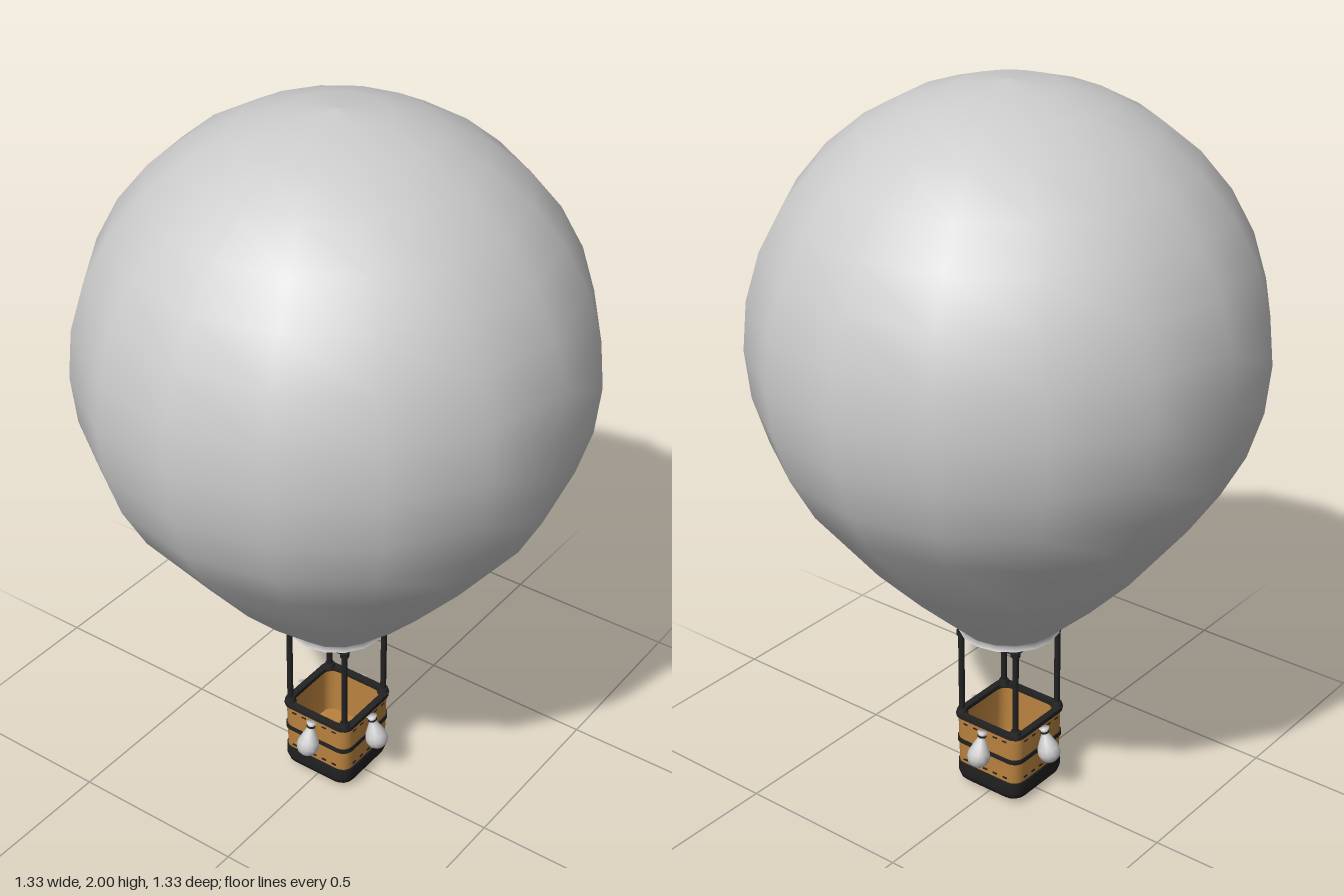
import * as THREE from 'three';
import { toCreasedNormals } from 'three/addons/utils/BufferGeometryUtils.js';

const grey = new THREE.MeshStandardMaterial({ color: 0xcccccc });
const greyOpen = new THREE.MeshStandardMaterial({ color: 0xcccccc, side: THREE.DoubleSide });
const wicker = new THREE.MeshStandardMaterial({ color: 0xb9823e });
const dark = new THREE.MeshStandardMaterial({ color: 0x222222 });

function add(parent, name, geometry, material, x = 0, y = 0, z = 0) {
  const mesh = new THREE.Mesh(geometry, material);
  mesh.name = name;
  mesh.position.set(x, y, z);
  parent.add(mesh);
  return mesh;
}

const lathe = (points, sides) =>
  new THREE.LatheGeometry(points.map(([r, y]) => new THREE.Vector2(r, y)), sides);

// Sweeps a profile of [half width, y] around a square with rounded corners
function roundedSquareLathe(profile, corner = 0.03) {
  const positions = [], index = [], steps = 4, n = 4 * (steps + 1);
  for (const [half, y] of profile) {
    const r = Math.min(corner, half);
    for (let q = 0; q < 4; q++) {
      const mid = (q + 0.5) * Math.PI / 2;
      for (let s = 0; s <= steps; s++) {
        const a = (q + s / steps) * Math.PI / 2;
        positions.push(
          Math.sign(Math.cos(mid)) * (half - r) + r * Math.cos(a), y,
          Math.sign(Math.sin(mid)) * (half - r) + r * Math.sin(a));
      }
    }
  }
  for (let j = 0; j < profile.length - 1; j++) {
    for (let i = 0; i < n; i++) {
      const a = j * n + i, c = j * n + (i + 1) % n, b = a + n, d = c + n;
      index.push(a, b, c, c, b, d);
    }
  }
  const geometry = new THREE.BufferGeometry();
  geometry.setAttribute('position', new THREE.Float32BufferAttribute(positions, 3));
  geometry.setIndex(index);
  return toCreasedNormals(geometry, 0.7);
}

// Rectangular band ring around the basket
const band = (inner, outer, y0, y1) =>
  roundedSquareLathe([[inner, y0], [outer, y0], [outer, y1], [inner, y1], [inner, y0]]);

function createEnvelope(parent) {
  const R = 0.665, cy = 1.335;
  const profile = [[0.139, 0.494], [0.133, 0.507], [0.146, 0.52], [0.265, 0.63], [0.385, 0.755]];
  for (let i = -3; i <= 8; i++) {
    const a = i * Math.PI / 16;
    profile.push([i === 8 ? 0 : R * Math.cos(a), cy + R * Math.sin(a)]);
  }
  add(parent, 'envelope', lathe(profile, 16), greyOpen);
}

function createBasket(parent) {
  const basket = new THREE.Group();
  basket.name = 'basket';
  parent.add(basket);

  add(basket, 'basketBase', roundedSquareLathe([
    [0, 0.005], [0.075, 0.005], [0.093, 0.01], [0.106, 0.023], [0.111, 0.042], [0.111, 0.075], [0.1, 0.075],
  ], 0.035), dark);
  add(basket, 'basketWall', roundedSquareLathe([
    [0.107, 0.072], [0.109, 0.222], [0.097, 0.222], [0.095, 0.078], [0, 0.078],
  ]), wicker);
  add(basket, 'basketRim', band(0.094, 0.113, 0.219, 0.231), dark);
  add(basket, 'basketBelt', band(0.105, 0.111, 0.139, 0.152), dark);

  // Stitches above and below the belt, on all four sides
  const stitch = new THREE.BoxGeometry(0.014, 0.004, 0.003);
  for (let side = 0; side < 4; side++) {
    const face = new THREE.Group();
    face.name = 'stitching';
    face.rotation.y = side * Math.PI / 2;
    basket.add(face);
    for (const y of [0.088, 0.205]) {
      for (let i = -2; i <= 2; i++) add(face, 'stitch', stitch, dark, i * 0.034, y, 0.109);
    }
  }
}

function createSandbags(parent) {
  const bag = lathe([
    [0, -0.1], [0.016, -0.097], [0.027, -0.087], [0.032, -0.072], [0.03, -0.056],
    [0.021, -0.036], [0.012, -0.018], [0.009, -0.009], [0.015, 0.003], [0, 0.003],
  ], 12);
  const tie = new THREE.TorusGeometry(0.01, 0.003, 5, 10);
  tie.rotateX(Math.PI / 2);
  for (let side = 0; side < 4; side++) {
    const pivot = new THREE.Group();
    pivot.name = 'sandbag';
    pivot.rotation.y = side * Math.PI / 2;
    parent.add(pivot);
    const hung = new THREE.Group();
    hung.position.set(0, 0.212, 0.12);
    hung.rotation.x = -0.25;
    pivot.add(hung);
    add(hung, 'bag', bag, grey);
    add(hung, 'bagTie', tie, dark, 0, -0.01, 0);
  }
}

function createRigging(parent) {
  const d = 0.093, top = 0.486;
  const pole = new THREE.CylinderGeometry(0.0085, 0.0085, 0.27, 8);
  const foot = new THREE.CylinderGeometry(0.013, 0.018, 0.018, 8);
  const collar = new THREE.CylinderGeometry(0.013, 0.013, 0.016, 8);
  const bar = new THREE.BoxGeometry(2 * d, 0.01, 0.01);
  const burner = lathe([
    [0, -0.024], [0.008, -0.024], [0.009, -0.008], [0.015, 0], [0.016, 0.016], [0.012, 0.016], [0, 0.004],
  ], 10);
  for (const sx of [-1, 1]) {
    for (const sz of [-1, 1]) {
      add(parent, 'pole', pole, dark, sx * d, 0.355, sz * d);
      add(parent, 'poleFoot', foot, dark, sx * d, 0.234, sz * d);
      add(parent, 'poleCollar', collar, dark, sx * d, top - 0.002, sz * d);
      add(parent, 'burner', burner, grey, sx * 0.042, top, sz * 0.042);
    }
  }
  // Square burner frame with two inner rails each way
  for (const offset of [-d, -0.042, 0.042, d]) {
    const thin = Math.abs(offset) < d ? 0.5 : 1;
    const across = add(parent, 'burnerFrame', bar, dark, 0, top, offset);
    const along = add(parent, 'burnerFrame', bar, dark, offset, top, 0);
    along.rotation.y = Math.PI / 2;
    across.scale.set(1, thin, thin);
    along.scale.set(1, thin, thin);
  }
}

export function createModel() {
  const model = new THREE.Group();
  model.name = 'hotAirBalloon';
  createEnvelope(model);
  createBasket(model);
  createSandbags(model);
  createRigging(model);
  return model;
}
